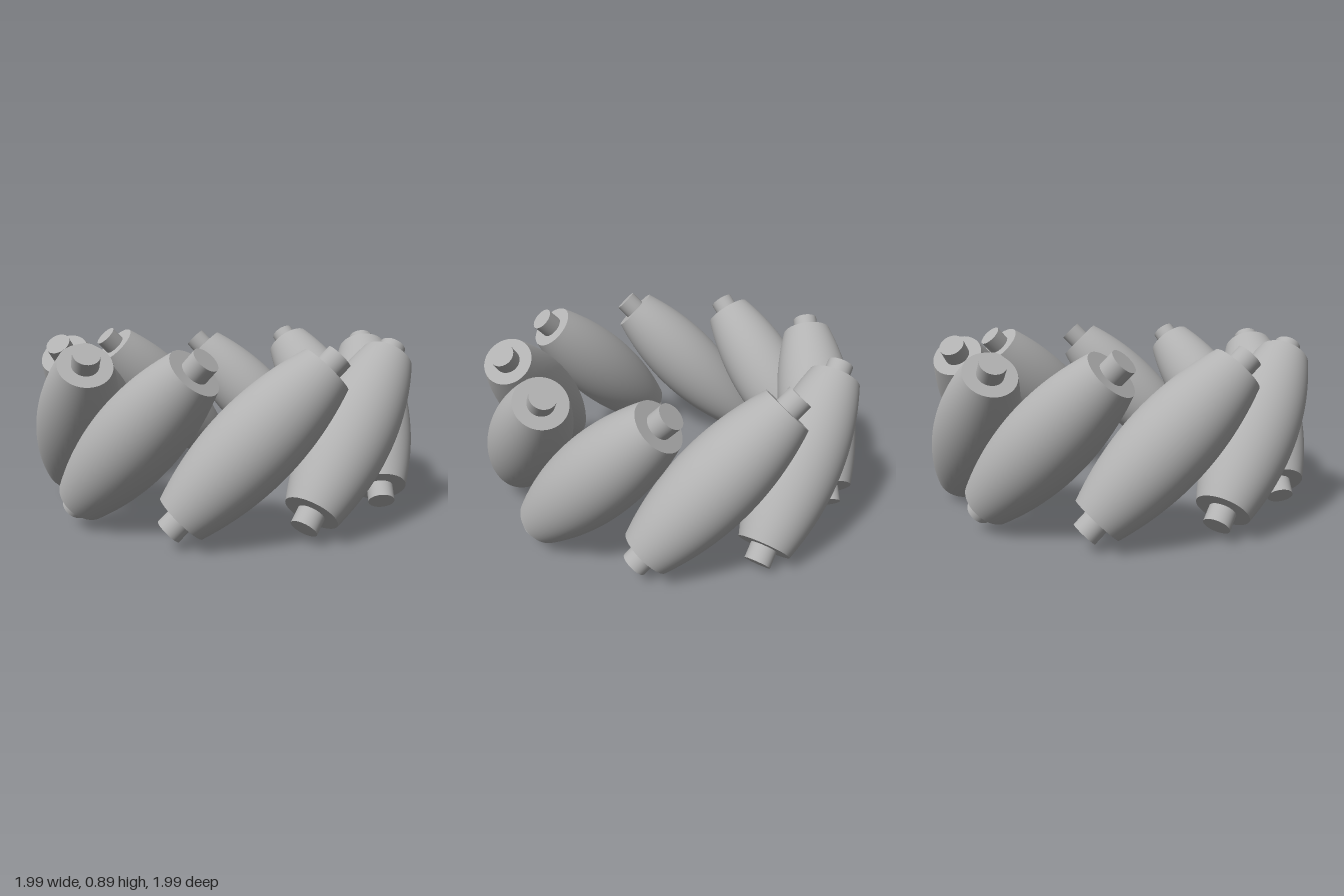
import * as THREE from 'three';

const COUNT = 9;
const RING_RADIUS = 0.795; // distance of roller centres from the ring axis
const MID_HEIGHT = 0.463;
const HALF_BODY = 0.458;
const HALF_AXLE = 0.54;
const MID_R = 0.205;
const END_R = 0.13;
const AXLE_R = 0.065;

export function createModel() {
  const model = new THREE.Group();
  model.name = 'rollerRing';
  const grey = new THREE.MeshStandardMaterial({ color: 0xb2b2b2 });
  grey.name = 'plain grey';

  // Barrel side: a smooth bulge from end to end
  const profile = [];
  for (let i = 0; i <= 24; i++) {
    const u = (i / 24) * 2 - 1;
    profile.push(new THREE.Vector2(MID_R - (MID_R - END_R) * u * u, u * HALF_BODY));
  }
  const barrelGeometry = new THREE.LatheGeometry(profile, 64);
  // Flat end faces come from a core that fills the barrel
  const coreGeometry = new THREE.CylinderGeometry(END_R, END_R, HALF_BODY * 2, 64);
  // One axle runs through and shows as a stub at both ends
  const axleGeometry = new THREE.CylinderGeometry(AXLE_R, AXLE_R, HALF_AXLE * 2, 40);

  const addPart = (parent, geometry, name) => {
    const mesh = new THREE.Mesh(geometry, grey);
    mesh.name = name;
    parent.add(mesh);
  };

  for (let i = 0; i < COUNT; i++) {
    const station = new THREE.Group();
    station.name = 'rollerStation' + (i + 1);
    station.rotation.y = ((i + 0.5) / COUNT) * Math.PI * 2;

    // Each roller leans 45 degrees along the ring
    const roller = new THREE.Group();
    roller.name = 'roller';
    roller.position.set(0, MID_HEIGHT, RING_RADIUS);
    roller.rotation.z = -Math.PI / 4;
    // One roller has slid slightly down its own axis
    if (i === 5) roller.translateY(-0.05);

    addPart(roller, barrelGeometry, 'barrel');
    addPart(roller, coreGeometry, 'endFaces');
    addPart(roller, axleGeometry, 'axle');
    station.add(roller);
    model.add(station);
  }
  return model;
}
